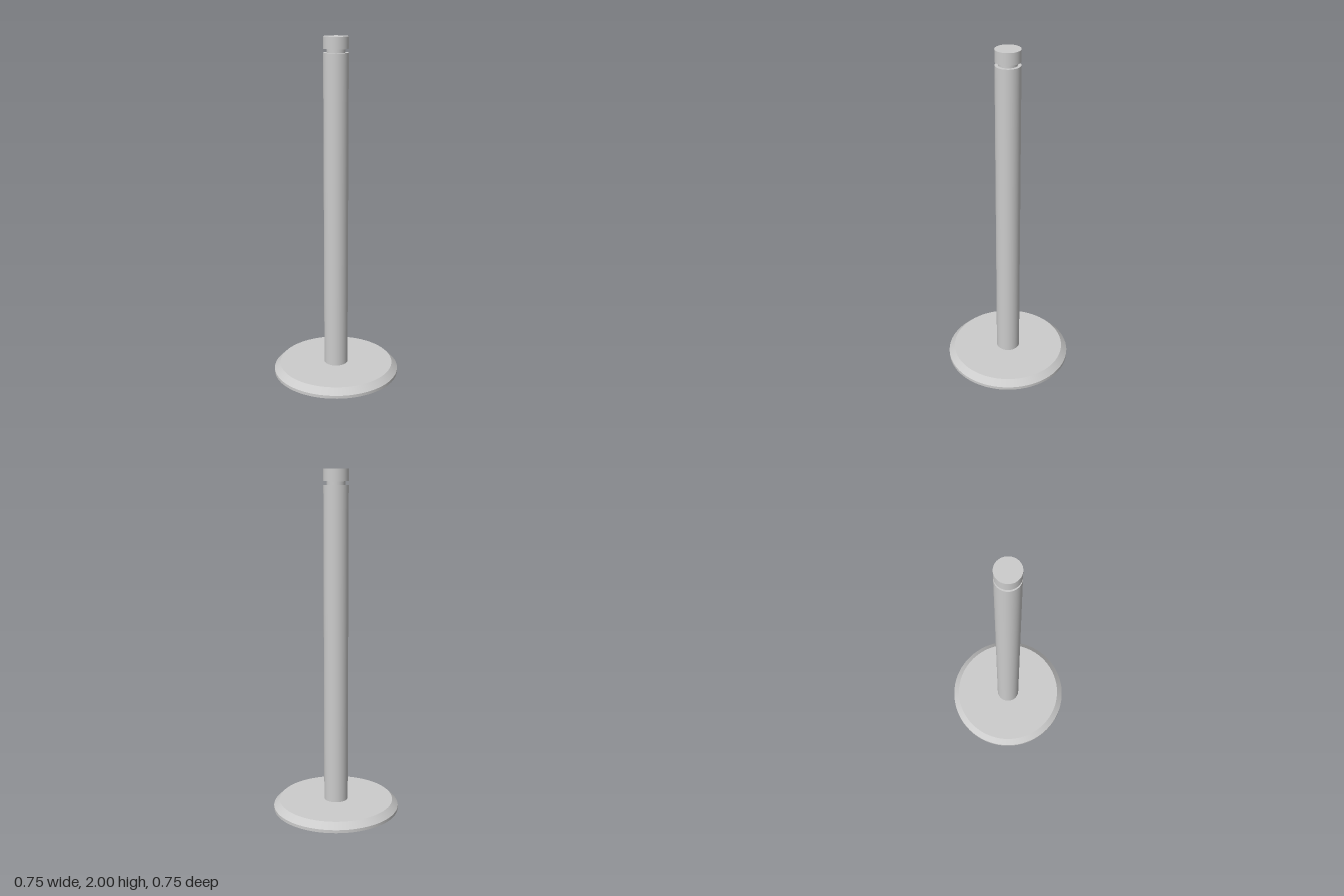
import * as THREE from 'three';

const material = new THREE.MeshStandardMaterial({ color: 0xcccccc });

// Revolve a bottom-to-top profile; inner corners are doubled so edges stay crisp
function turned(name, profile) {
  const points = profile.flatMap(([r, y], i) => {
    const p = new THREE.Vector2(r, y);
    return i === 0 || i === profile.length - 1 ? [p] : [p, p.clone()];
  });
  const mesh = new THREE.Mesh(new THREE.LatheGeometry(points, 72), material);
  mesh.name = name;
  return mesh;
}

export function createModel() {
  const model = new THREE.Group();
  model.name = 'valve';

  // Flat disc with a short straight rim and a bevelled upper edge
  model.add(turned('head', [
    [0, 0], [0.375, 0], [0.375, 0.018], [0.34, 0.053], [0, 0.053],
  ]));

  // Long straight rod with a narrow retaining groove near the tip
  const r = 0.071, grooveR = 0.052;
  model.add(turned('stem', [
    [r, 0.053], [r, 1.912], [grooveR, 1.912], [grooveR, 1.933], [r, 1.933], [r, 2], [0, 2],
  ]));

  return model;
}
